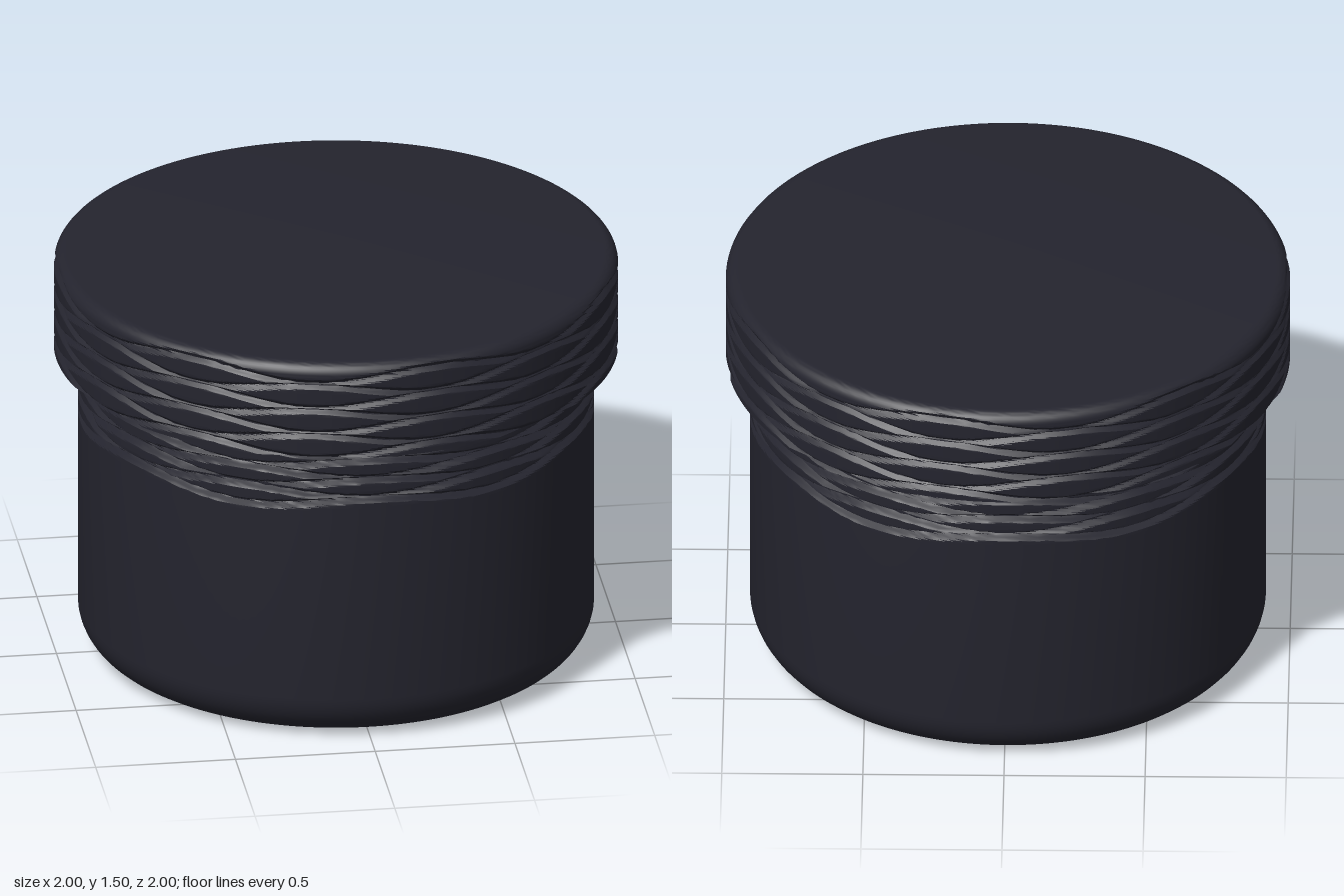
import * as THREE from 'three';
import { mergeVertices, toCreasedNormals } from 'three/addons/utils/BufferGeometryUtils.js';

const charcoal = new THREE.MeshStandardMaterial({ color: 0x24242e });
charcoal.name = 'charcoal';

// Quarter-circle corner points around (cx, cy) between two angles
function corner(cx, cy, r, from, to, steps = 10) {
  return Array.from({ length: steps + 1 }, (_, i) => {
    const a = from + ((to - from) * i) / steps;
    return new THREE.Vector2(cx + r * Math.cos(a), cy + r * Math.sin(a));
  });
}

// Straight vertical wall, finely divided so grooves can be pressed into it
function wall(r, y0, y1, steps) {
  return Array.from({ length: steps + 1 }, (_, i) =>
    new THREE.Vector2(r, y0 + ((y1 - y0) * i) / steps));
}

// Turned part with rows of wavy V-grooves; alternate rows are mirrored so they interlace
function groovedPart(name, points, segments, g) {
  let geo = new THREE.LatheGeometry(points, segments);
  geo.deleteAttribute('uv');
  geo.deleteAttribute('normal');
  const pos = geo.attributes.position;
  for (let i = 0; i < pos.count; i++) {
    const x = pos.getX(i), y = pos.getY(i), z = pos.getZ(i);
    const r = Math.hypot(x, z);
    if (r < g.radius - 0.001) continue;
    const wave = g.amplitude * Math.cos(g.waves * Math.atan2(x, z) - g.phase);
    let cut = 0;
    for (let k = 0; k < g.rows; k++) {
      const rowY = g.start + k * g.step + (k % 2 ? -wave : wave);
      cut = Math.max(cut, 1 - Math.abs(y - rowY) / g.halfWidth);
    }
    const s = (r - g.depth * cut) / r;
    pos.setXYZ(i, x * s, y, z * s);
  }
  geo = toCreasedNormals(mergeVertices(geo, 1e-5), 0.5);
  const mesh = new THREE.Mesh(geo, charcoal);
  mesh.name = name;
  return mesh;
}

export function createModel() {
  const group = new THREE.Group();
  group.name = 'jar';
  const P = (x, y) => new THREE.Vector2(x, y);

  // Jar body with rounded foot and grooved neck
  const R = 0.915;
  group.add(groovedPart('jarBody', [
    P(0, 0),
    ...corner(R - 0.165, 0.165, 0.165, -Math.PI / 2, 0),
    ...wall(R, 0.87, 1.16, 64),
    P(0, 1.16),
  ], 192, {
    radius: R, waves: 6, phase: 0, amplitude: 0.017,
    start: 0.925, step: 0.0375, rows: 7, halfWidth: 0.016, depth: 0.027,
  }));

  // Wider lid with softened top edge and interlaced grooves
  group.add(groovedPart('lid', [
    P(0, 1.14),
    ...wall(1, 1.14, 1.452, 72),
    ...corner(0.952, 1.452, 0.048, 0, Math.PI / 2),
    P(0, 1.5),
  ], 224, {
    radius: 0.985, waves: 7, phase: Math.PI / 2, amplitude: 0.021,
    start: 1.159, step: 0.048, rows: 7, halfWidth: 0.015, depth: 0.017,
  }));

  return group;
}
